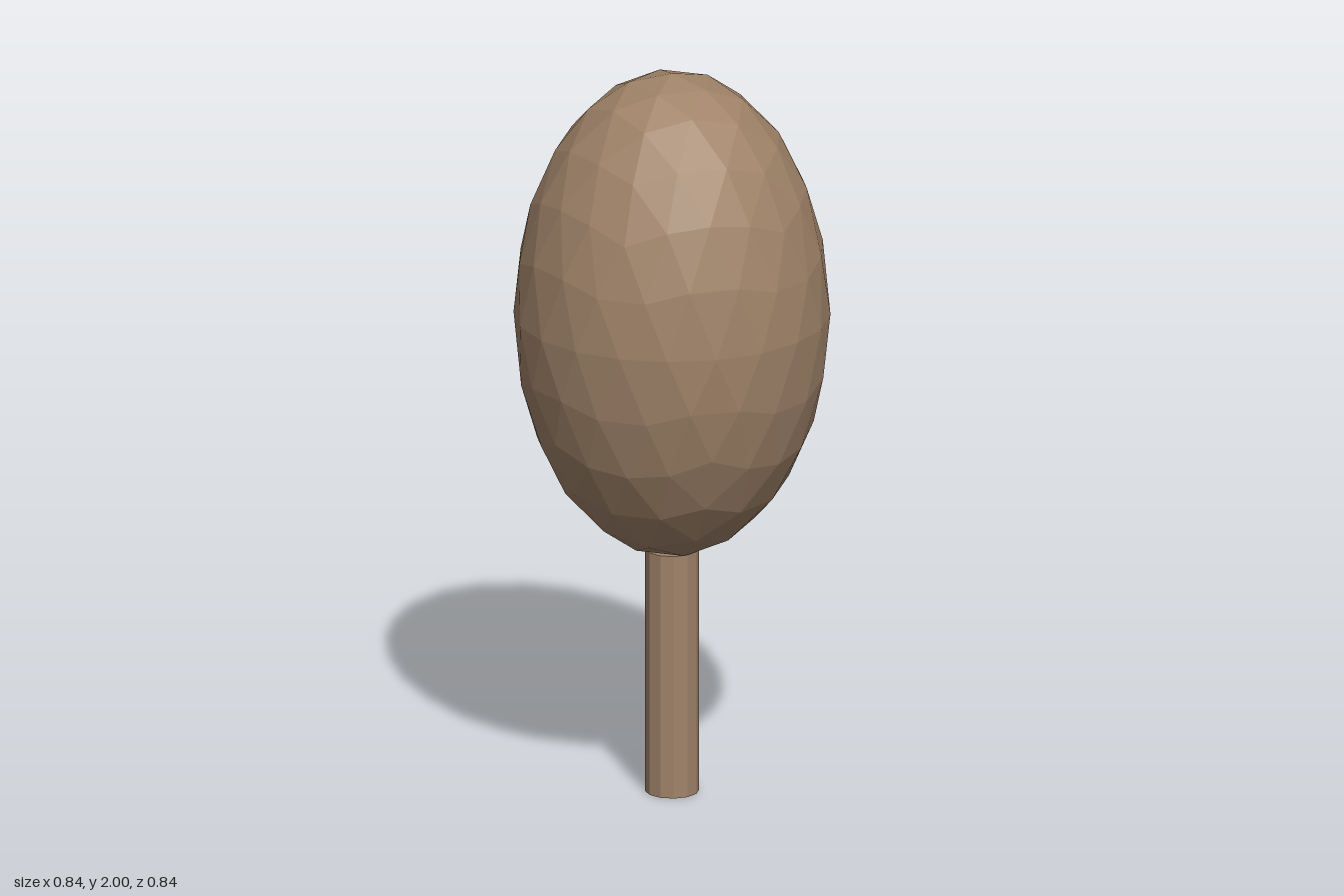
import * as THREE from 'three';

const CROWN = { radius: 0.42, halfHeight: 0.668, centerY: 1.332 };
const TRUNK = { radius: 0.072, height: 0.675, sides: 12 };

// Icosahedron standing on a corner, each triangle split in four twice
function icosphere(passes) {
  const lat = Math.atan(0.5);
  const points = [0, 1, 0, 0, -1, 0];
  const faces = [];
  for (let k = 0; k < 5; k++) {
    for (const side of [1, -1]) {
      const a = (k * 72 + (side < 0 ? 36 : 0)) * Math.PI / 180;
      points.push(Math.cos(a) * Math.cos(lat), side * Math.sin(lat), Math.sin(a) * Math.cos(lat));
    }
    const next = (k + 1) % 5;
    const upper = 2 + k * 2, lower = upper + 1;
    const upperNext = 2 + next * 2, lowerNext = upperNext + 1;
    faces.push(0, upperNext, upper, upper, upperNext, lower);
    faces.push(lower, upperNext, lowerNext, 1, lower, lowerNext);
  }
  let geometry = new THREE.PolyhedronGeometry(points, faces, 1, 0);
  for (let i = 0; i < passes; i++) {
    const corners = Array.from(geometry.attributes.position.array);
    const order = Array.from({ length: corners.length / 3 }, (_, n) => n);
    geometry = new THREE.PolyhedronGeometry(corners, order, 1, 1);
  }
  return geometry;
}

export function createModel() {
  const model = new THREE.Group();
  model.name = 'tree';
  const brown = new THREE.MeshStandardMaterial({ color: 0xa08369, flatShading: true });

  // Faceted egg-shaped crown
  const crownGeometry = icosphere(2);
  crownGeometry.scale(CROWN.radius, CROWN.halfHeight, CROWN.radius);
  crownGeometry.computeVertexNormals();
  const crown = new THREE.Mesh(crownGeometry, brown);
  crown.name = 'crown';
  crown.position.y = CROWN.centerY;
  model.add(crown);

  // Straight trunk, its top just inside the crown
  const trunk = new THREE.Mesh(
    new THREE.CylinderGeometry(TRUNK.radius, TRUNK.radius, TRUNK.height, TRUNK.sides), brown);
  trunk.name = 'trunk';
  trunk.position.y = TRUNK.height / 2;
  model.add(trunk);

  return model;
}
